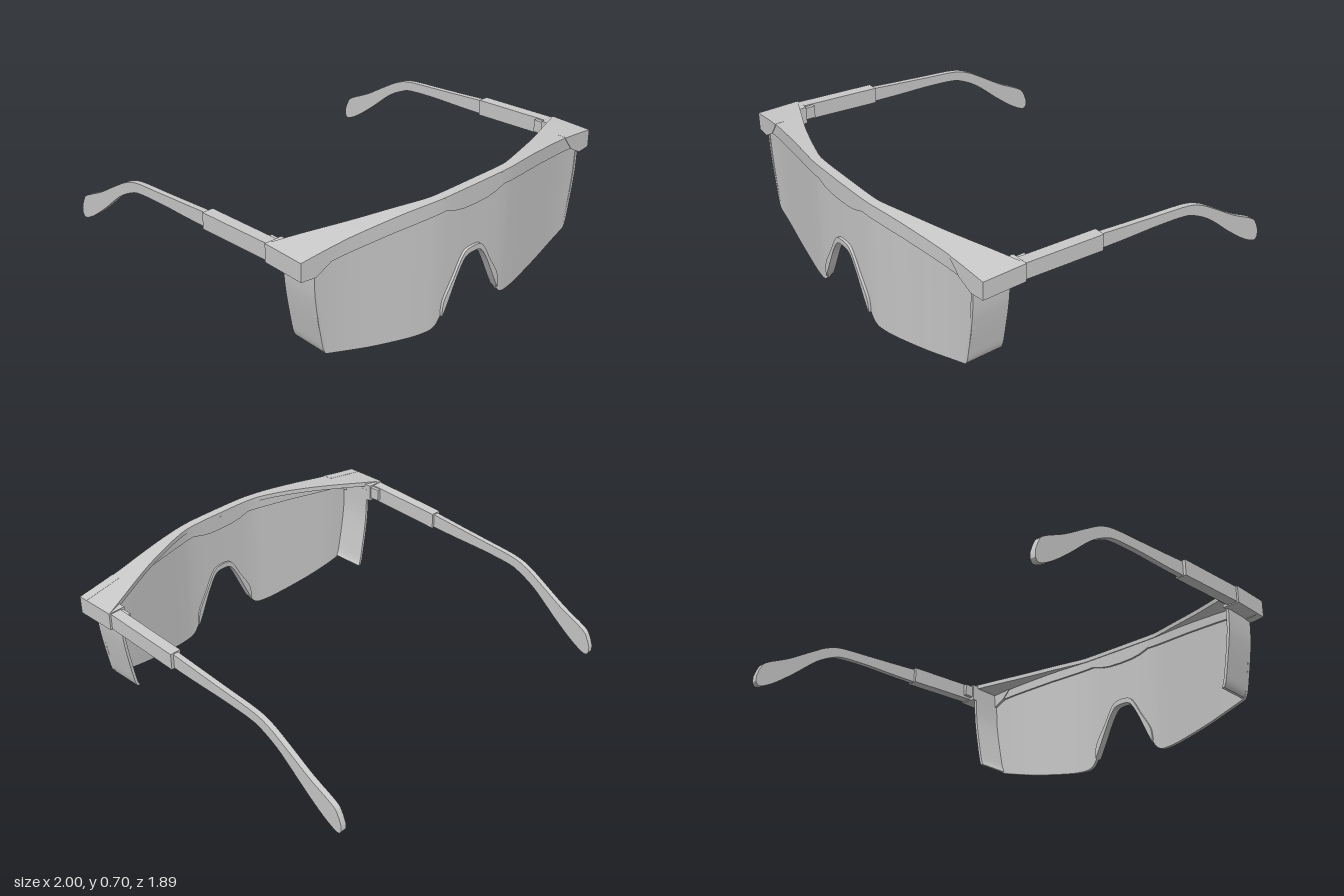
import * as THREE from 'three';
import { toCreasedNormals } from 'three/addons/utils/BufferGeometryUtils.js';

const material = new THREE.MeshStandardMaterial({ color: 0xcccccc, side: THREE.DoubleSide });

// Smooth curve through [a, b] points, as sampled points
const smooth = (pts, n = 40) =>
  new THREE.SplineCurve(pts.map(p => new THREE.Vector2(...p))).getPoints(n);

// Lookup b(|a|) along a list of points, a increasing
function lookup(samples) {
  return value => {
    const a = Math.abs(value);
    let i = 0;
    while (i < samples.length - 2 && samples[i + 1].x < a) i++;
    const p = samples[i], q = samples[i + 1];
    const t = THREE.MathUtils.clamp((a - p.x) / (q.x - p.x), 0, 1);
    return p.y + (q.y - p.y) * t;
  };
}

// Closed solid skinned over rings of [x, y, z] points, turned outward if needed
function loft(name, rings, crease = 0.5) {
  const n = rings[0].length, tris = [];
  for (let i = 0; i < rings.length - 1; i++) {
    for (let j = 0; j < n; j++) {
      const k = (j + 1) % n;
      const a = rings[i][j], b = rings[i][k], c = rings[i + 1][k], d = rings[i + 1][j];
      tris.push([a, b, c], [a, c, d]);
    }
  }
  const first = rings[0], last = rings[rings.length - 1];
  for (let j = 1; j < n - 1; j++) {
    tris.push([first[0], first[j + 1], first[j]], [last[0], last[j], last[j + 1]]);
  }
  const V = p => new THREE.Vector3(...p);
  const volume = tris.reduce((s, [a, b, c]) => s + V(a).dot(V(b).cross(V(c))), 0);
  const flat = tris.flatMap(([a, b, c]) => (volume < 0 ? [a, c, b] : [a, b, c])).flat();
  const geometry = new THREE.BufferGeometry();
  geometry.setAttribute('position', new THREE.Float32BufferAttribute(flat, 3));
  const mesh = new THREE.Mesh(toCreasedNormals(geometry, crease), material);
  mesh.name = name;
  return mesh;
}

// Upright four-cornered section at x
const slice = (x, y0, y1, z0, z1) => [[x, y0, z0], [x, y0, z1], [x, y1, z1], [x, y1, z0]];
const mirrored = xs => [...xs.slice(1).reverse().map(x => -x), ...xs];
const steps = (end, n) => Array.from({ length: n + 1 }, (_, i) => (end * i) / n);

// Shared outlines over |x|
const frontZ = lookup(smooth([[0, 0.943], [0.2, 0.94], [0.32, 0.927], [0.55, 0.89], [0.78, 0.855], [1, 0.838]]));
const backZ = lookup(smooth([[0, 0.892], [0.2, 0.89], [0.32, 0.87], [0.6, 0.775], [0.88, 0.655], [1, 0.605]]));
const topY = lookup(smooth([[0, 0.705], [0.2, 0.704], [0.45, 0.693], [0.75, 0.663], [1, 0.632]]));
const browBottomY = lookup([[0, 0.601], [0.08, 0.603], [0.14, 0.613], [0.2, 0.632], [0.5, 0.612], [0.84, 0.58], [0.92, 0.56]]
  .map(p => new THREE.Vector2(...p)));
const lensZ = x => frontZ(x) - 0.013;

function lens() {
  const edge = smooth([[0, 0.348], [0.04, 0.343], [0.07, 0.318], [0.11, 0.25], [0.18, 0.105], [0.21, 0.045],
    [0.24, 0.014], [0.29, 0.003], [0.4, 0.01], [0.62, 0.046], [0.82, 0.095], [0.862, 0.117],
    [0.88, 0.19], [0.905, 0.34], [0.92, 0.53]], 90);
  const bottom = lookup(edge);
  return loft('lens', mirrored(edge.map(p => p.x)).map(x =>
    slice(x, bottom(x), Math.max(topY(x) - 0.02, 0.56), lensZ(x) - 0.02, lensZ(x))));
}

function noseRim() {
  // Narrow raised band around the nose notch
  const inner = smooth([[0, 0.345], [0.04, 0.34], [0.07, 0.315], [0.11, 0.247], [0.165, 0.13], [0.2, 0.06]], 24);
  const outer = smooth([[0, 0.375], [0.05, 0.367], [0.085, 0.33], [0.13, 0.25], [0.19, 0.15], [0.203, 0.08]], 24);
  const ring = (i, s) => {
    const a = inner[i], b = outer[i], za = lensZ(a.x), zb = lensZ(b.x);
    return [[s * a.x, a.y, za - 0.03], [s * a.x, a.y, za + 0.014],
      [s * b.x, b.y, zb + 0.014], [s * b.x, b.y, zb - 0.03]];
  };
  const rings = mirrored(steps(24, 24)).map(i => ring(Math.abs(i), Math.sign(i)));
  return loft('noseRim', rings);
}

function brow() {
  const group = new THREE.Group();
  group.name = 'brow';
  const xs = mirrored(steps(1, 40));
  group.add(loft('browTop', xs.map(x =>
    slice(x, topY(x) - 0.025, topY(x), backZ(x), frontZ(x)))));
  group.add(loft('browFront', mirrored(steps(0.92, 46)).map(x =>
    slice(x, browBottomY(x), topY(x) - 0.005, frontZ(x) - 0.045, frontZ(x)))));
  return group;
}

function side(s) {
  const group = new THREE.Group();
  group.name = s > 0 ? 'leftSide' : 'rightSide';
  const box = (name, x0, x1, y0, y1, z0, z1) =>
    loft(name, [slice(s * x0, y0, y1, z0, z1), slice(s * x1, y0, y1, z0, z1)]);

  // Corner block with its slanted front cap
  group.add(box('cornerBlock', 0.905, 1, 0.538, 0.633, 0.605, 0.839));
  group.add(loft('cornerCap', [[0.78, 0.65], [0.84, 0.578], [0.92, 0.533], [1, 0.538]].map(([x, y]) =>
    slice(s * x, y, topY(x) + 0.001, frontZ(x) - 0.05, frontZ(x) + 0.003))));

  // Side shield following the slanted lens edge
  const edge = smooth([[0.858, 0.11], [0.87, 0.14], [0.882, 0.2], [0.905, 0.34], [0.917, 0.45], [0.92, 0.6]], 24);
  group.add(loft('sideShield', edge.map(({ x, y }) => [
    [s * x, y, 0.835], [s * x, y, 0.632], [s * (x - 0.016), y, 0.632], [s * (x - 0.016), y, 0.835]])));

  // Hinge and temple sleeve
  group.add(box('hinge', 0.912, 0.97, 0.555, 0.622, 0.55, 0.63));
  const sleeve = [[0.602, 0.543, 0.63], [0.15, 0.516, 0.604]];
  group.add(loft('templeSleeve', sleeve.map(([z, y0, y1]) => [
    [s * 0.932, y0, z], [s * 0.992, y0, z], [s * 0.992, y1, z], [s * 0.932, y1, z]])));

  // Temple arm, bending down to a rounded ear tip
  const upper = smooth([[0.2, 0.602], [0, 0.582], [-0.2, 0.563], [-0.4, 0.543], [-0.5, 0.512], [-0.6, 0.455],
    [-0.75, 0.363], [-0.89, 0.292], [-0.925, 0.25], [-0.945, 0.2]], 54);
  const lower = smooth([[0.2, 0.521], [0, 0.512], [-0.2, 0.506], [-0.38, 0.492], [-0.46, 0.468], [-0.57, 0.405],
    [-0.72, 0.28], [-0.84, 0.19], [-0.92, 0.15], [-0.945, 0.168]], 54);
  group.add(loft('templeArm', upper.map((u, i) => {
    const l = lower[i];
    return [[s * 0.946, l.y, l.x], [s * 0.976, l.y, l.x], [s * 0.976, u.y, u.x], [s * 0.946, u.y, u.x]];
  })));
  return group;
}

export function createModel() {
  const model = new THREE.Group();
  model.name = 'safetyGlasses';
  model.add(lens(), noseRim(), brow(), side(1), side(-1));
  return model;
}
